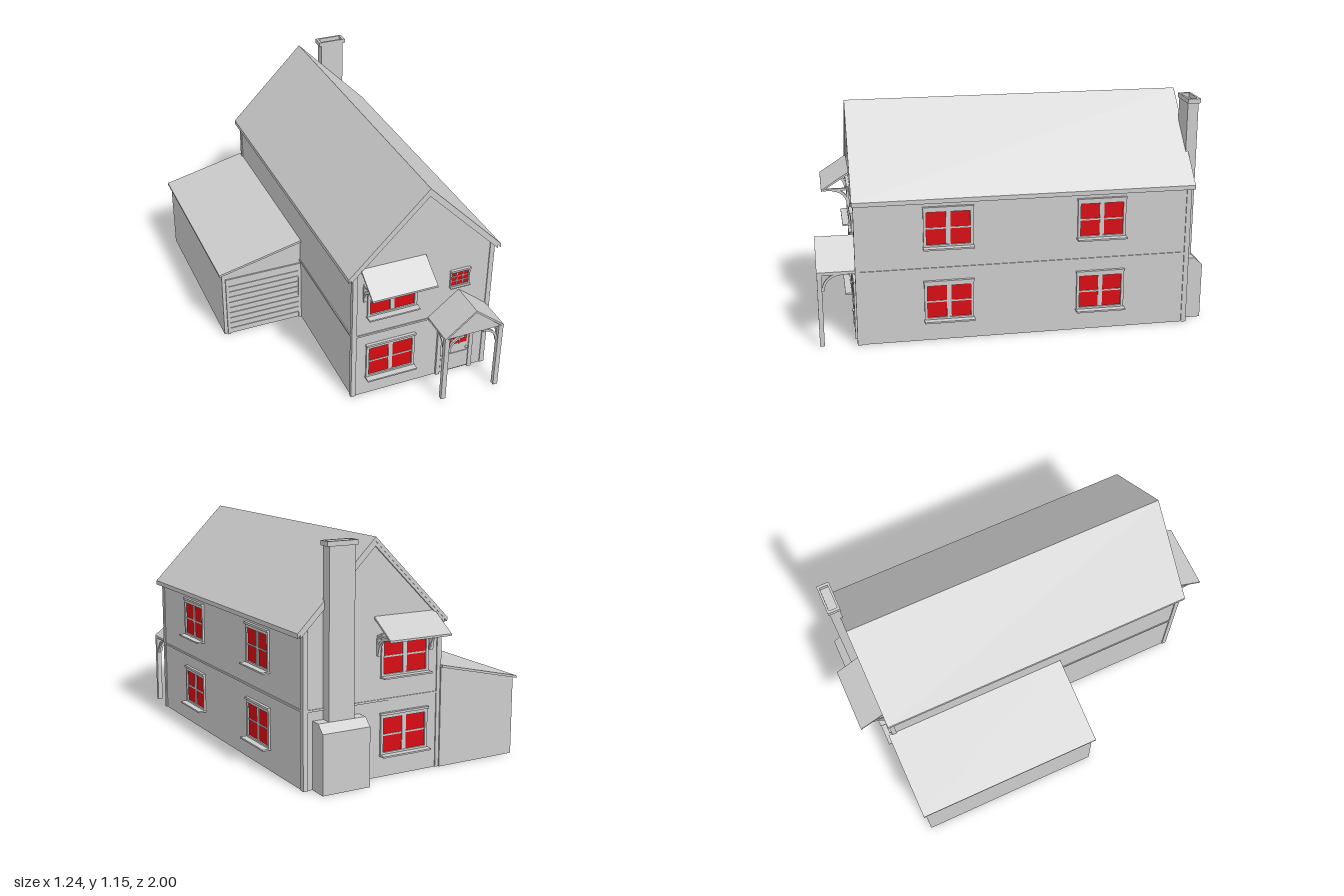
import * as THREE from 'three';

const grey = new THREE.MeshStandardMaterial({ color: 0xcccccc, flatShading: true, side: THREE.DoubleSide });
const red = new THREE.MeshStandardMaterial({ color: 0xd80a12 });

// House extents: side walls, ridge, front and back walls
const XL = -0.17, XR = 0.575, XC = 0.205, FRONT = 0.81, BACK = -0.86, T = 0.012;

function add(parent, name, geometry, material = grey) {
  const mesh = new THREE.Mesh(geometry, material);
  mesh.name = name;
  parent.add(mesh);
  return mesh;
}

// Box given by its minimum and maximum corners
function box(parent, name, x0, x1, y0, y1, z0, z1, material = grey) {
  const mesh = add(parent, name, new THREE.BoxGeometry(x1 - x0, y1 - y0, z1 - z0), material);
  mesh.position.set((x0 + x1) / 2, (y0 + y1) / 2, (z0 + z1) / 2);
  return mesh;
}

// Outline in x,y extruded from z0 to z1
function prism(parent, name, points, z0, z1) {
  const shape = points instanceof THREE.Shape ? points : new THREE.Shape(points.map(p => new THREE.Vector2(...p)));
  const geometry = new THREE.ExtrudeGeometry(shape, { depth: z1 - z0, bevelEnabled: false, curveSegments: 8 });
  const mesh = add(parent, name, geometry.translate(0, 0, z0));
  return mesh;
}

// Outline in z,y extruded from x0 to x1
function sidePrism(parent, name, points, x0, x1) {
  const mesh = prism(parent, name, points, -x1, -x0);
  mesh.rotation.y = -Math.PI / 2;
  return mesh;
}

function subgroup(parent, name, x, y, z, turn = 0) {
  const g = new THREE.Group();
  g.name = name;
  g.position.set(x, y, z);
  g.rotation.y = turn;
  parent.add(g);
  return g;
}

// Symmetric gable strip around x = xc
const chevron = (xc, half, top, eave, t) => [
  [xc, top], [xc + half, eave], [xc + half, eave - t], [xc, top - t], [xc - half, eave - t], [xc - half, eave]];

// Quarter-ring brace from (0,-r) up to (r,0)
function braceShape(r, t) {
  const s = new THREE.Shape();
  s.moveTo(0, -r);
  s.absarc(r, -r, r, Math.PI, Math.PI / 2, true);
  s.lineTo(r, -t);
  s.absarc(r, -r, r - t, Math.PI / 2, Math.PI, false);
  return s;
}

// Red glass with a grid of bars, centred on the local origin, facing +z
function glazing(g, w, h, cols, rows, midBar, bar) {
  box(g, 'glass', -w / 2, w / 2, -h / 2, h / 2, -T - 0.002, 0.002, red);
  for (let i = 1; i < cols; i++) {
    const x = -w / 2 + w * i / cols;
    box(g, 'mullion', x - midBar / 2, x + midBar / 2, -h / 2, h / 2, -T - 0.006, 0.006);
  }
  for (let i = 1; i < rows; i++) {
    const y = -h / 2 + h * i / rows;
    box(g, 'glazingBar', -w / 2, w / 2, y - bar / 2, y + bar / 2, -T - 0.005, 0.005);
  }
}

function frame(g, w, h, f) {
  for (const s of [-1, 1]) {
    const x = s * (w - f) / 2, y = s * (h - f) / 2;
    box(g, 'frameSide', x - f / 2, x + f / 2, -h / 2, h / 2, -T - 0.008, 0.01);
    box(g, 'frameRail', -w / 2, w / 2, y - f / 2, y + f / 2, -T - 0.008, 0.01);
  }
}

// Two-light window with lintel and sill
function casement(parent, x, y, z, turn, w) {
  const g = subgroup(parent, 'window', x, y, z, turn);
  glazing(g, w - 0.03, 0.175, 2, 2, 0.022, 0.008);
  frame(g, w - 0.006, 0.195, 0.014);
  box(g, 'lintel', -w / 2, w / 2, 0.099, 0.11, 0, 0.016);
  box(g, 'sill', -w / 2, w / 2, -0.101, -0.093, 0, 0.043);
}

// Sloping window canopy on curved brackets
function awning(parent, x, y, z, turn) {
  const g = subgroup(parent, 'awning', x, y, z, turn);
  sidePrism(g, 'awningBoard', [[0, 0.78], [0.14, 0.69], [0.14, 0.68], [0, 0.768]], -0.169, 0.169);
  for (const s of [-1, 1]) {
    const b = sidePrism(g, 'awningBrace', braceShape(0.085, 0.014), s * 0.147 - 0.007, s * 0.147 + 0.007);
    b.position.y = 0.69;
    box(g, 'wallBatten', s * 0.147 - 0.009, s * 0.147 + 0.009, 0.592, 0.675, 0, 0.012);
    box(g, 'awningArm', s * 0.147 - 0.007, s * 0.147 + 0.007, 0.68, 0.69, 0, 0.13);
  }
}

function buildHouse(root) {
  const g = subgroup(root, 'house', 0, 0, 0);
  // Open-bottomed shell
  const gable = [[XL, 0], [XR, 0], [XR, 0.75], [XC, 1.125], [XL, 0.75]];
  prism(g, 'frontWall', gable, FRONT - T, FRONT);
  prism(g, 'backWall', gable, BACK, BACK + T);
  box(g, 'leftWall', XR - T, XR, 0, 0.75, BACK, FRONT);
  box(g, 'rightWall', XL, XL + T, 0, 0.75, BACK, FRONT);
  // Corner posts and the band between the storeys
  for (const x of [XL - 0.005, XR - 0.02])
    for (const z of [BACK - 0.005, FRONT - 0.02])
      box(g, 'cornerPost', x, x + 0.025, 0, 0.755, z, z + 0.025);
  for (const z of [BACK, FRONT]) box(g, 'storeyBand', XL, XR, 0.372, 0.382, z - 0.005, z + 0.005);
  for (const x of [XL, XR]) box(g, 'storeyBand', x - 0.005, x + 0.005, 0.372, 0.382, BACK, FRONT);
  // Roof and bargeboards
  prism(g, 'roof', chevron(XC, 0.405, 1.15, 0.742, 0.022), -0.872, 0.822);
  for (const z of [-0.87, FRONT]) prism(g, 'bargeboard', chevron(XC, 0.39, 1.135, 0.745, 0.028), z, z + 0.01);

  // Windows
  for (const y of [0.205, 0.585]) {
    casement(g, 0.035, y, FRONT, 0, 0.27);
    casement(g, 0.035, y, BACK, Math.PI, 0.27);
    for (const z of [0.36, -0.405]) casement(g, XR, y, z, Math.PI / 2, 0.25);
  }
  awning(g, 0.034, 0, FRONT + 0.004, 0);
  awning(g, 0.034, 0, BACK, Math.PI);
  const small = subgroup(g, 'smallWindow', 0.398, 0.588, FRONT);
  glazing(small, 0.094, 0.08, 3, 3, 0.004, 0.004);
  frame(small, 0.106, 0.09, 0.007);
  box(small, 'lintel', -0.054, 0.054, 0.045, 0.055, 0, 0.016);
  box(small, 'sill', -0.054, 0.054, -0.047, -0.042, 0, 0.022);
}

function buildDoor(root) {
  const g = subgroup(root, 'frontDoor', 0.398, 0, FRONT);
  box(g, 'doorLeaf', -0.08, 0.08, 0.008, 0.285, -T, 0.006);
  for (const s of [-1, 1]) box(g, 'doorJamb', s * 0.091 - 0.011, s * 0.091 + 0.011, 0, 0.302, 0, 0.012);
  box(g, 'doorHead', -0.102, 0.102, 0.285, 0.302, 0, 0.012);
  box(g, 'doorPanel', -0.078, 0.078, 0.012, 0.115, 0, 0.01);
  glazing(subgroup(g, 'doorGlass', 0, 0.223, 0.008), 0.134, 0.1, 3, 3, 0.004, 0.004);
  const knob = add(g, 'doorKnob', new THREE.SphereGeometry(0.008, 12, 8));
  knob.position.set(0.065, 0.14, 0.016);
}

function buildPorch(root) {
  const g = subgroup(root, 'porch', 0.399, 0, 0);
  prism(g, 'porchRoof', chevron(0, 0.161, 0.515, 0.385, 0.012), FRONT, 1.0);
  prism(g, 'porchGable', [[-0.15, 0.374], [0.15, 0.374], [0, 0.505]], 0.98, 0.99);
  for (const s of [-1, 1]) {
    const x = s * 0.148;
    box(g, 'porchPost', x - 0.0125, x + 0.0125, 0, 0.38, 0.975, 0.998);
    box(g, 'porchBeam', x - 0.008, x + 0.008, 0.368, 0.382, FRONT, 0.99);
    // Braces across the front and back along the beams
    const across = prism(g, 'frontBrace', braceShape(0.085, 0.012), 0.98, 0.992);
    across.position.set(-s * 0.137, 0.375, 0);
    if (s < 0) across.rotation.y = Math.PI, across.position.z = 1.972;
    const along = prism(g, 'sideBrace', braceShape(0.09, 0.012), -0.006, 0.006);
    along.rotation.y = Math.PI / 2;
    along.position.set(x, 0.375, 0.976);
  }
}

function buildGarage(root) {
  const g = subgroup(root, 'garage', 0, 0, 0);
  const x0 = -0.61, z0 = -0.872, z1 = 0.1;
  const wall = [[x0, 0], [XL, 0], [XL, 0.498], [x0, 0.396]];
  prism(g, 'garageFront', wall, z1 - T, z1);
  prism(g, 'garageBack', wall, z0, z0 + T);
  box(g, 'garageSide', x0, x0 + T, 0, 0.396, z0, z1);
  prism(g, 'garageRoof', [[-0.625, 0.392], [XL, 0.499], [XL, 0.511], [-0.625, 0.404]], -0.885, 0.115);
  // Slatted door with its frame
  for (const x of [-0.592, -0.185]) box(g, 'doorJamb', x, x + 0.015, 0, 0.36, z1, z1 + 0.008);
  box(g, 'doorHead', -0.592, XL, 0.345, 0.36, z1, z1 + 0.008);
  for (let i = 0; i < 10; i++) {
    const y = 0.003 + i * 0.0345;
    box(g, 'doorSlat', -0.577, -0.185, y, y + 0.031, z1 - T - 0.004, z1 + 0.004);
  }
}

function buildChimney(root) {
  const g = subgroup(root, 'chimney', 0, 0, 0);
  sidePrism(g, 'chimneyBase', [[BACK, 0], [-0.957, 0], [-0.957, 0.29], [-0.914, 0.328], [BACK, 0.328]], 0.28, 0.53);
  box(g, 'chimneyShaft', 0.339, 0.473, 0.32, 1.128, -0.914, BACK + 0.001);
  // Open rim on top
  const rim = [[0.327, 0.485, 1.127, 1.15, -0.92, -0.909], [0.327, 0.485, 1.127, 1.15, -0.866, -0.855],
    [0.327, 0.341, 1.127, 1.15, -0.909, -0.866], [0.471, 0.485, 1.127, 1.15, -0.909, -0.866]];
  for (const r of rim) box(g, 'chimneyRim', ...r);
}

export function createModel() {
  const root = new THREE.Group();
  root.name = 'house';
  buildHouse(root);
  buildDoor(root);
  buildPorch(root);
  buildGarage(root);
  buildChimney(root);
  return root;
}
